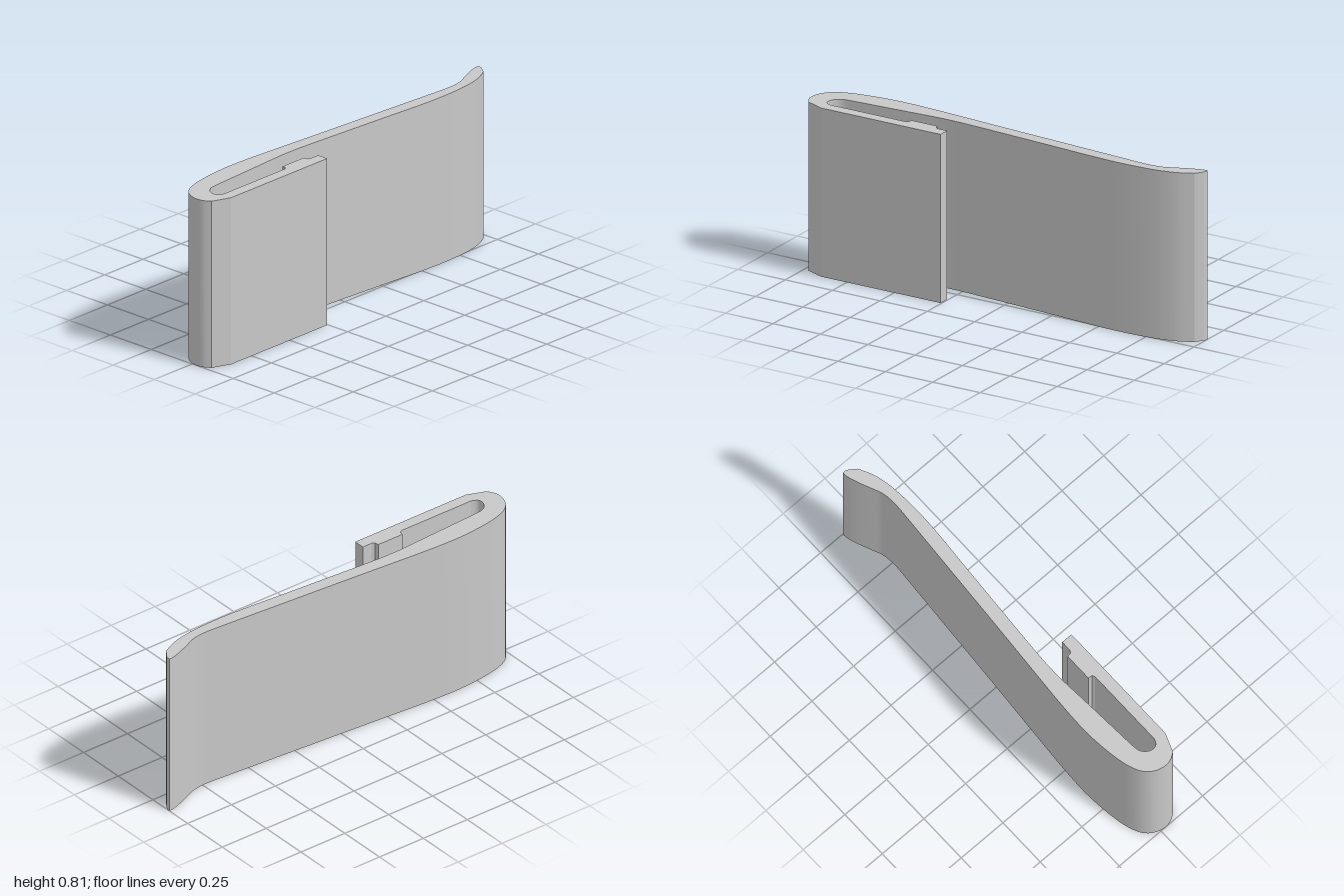
import * as THREE from 'three';
import { toCreasedNormals } from 'three/addons/utils/BufferGeometryUtils.js';

const HEIGHT = 0.805;

// Clip profile seen from above, drawn as (x, -z)
function clipProfile() {
  const shape = new THREE.Shape();
  const line = (...pts) => pts.forEach(([x, z]) => shape.lineTo(x, -z));
  const curve = (...pts) => shape.splineThru(pts.map(([x, z]) => new THREE.Vector2(x, -z)));

  // flared tip and inner face of the long arm
  shape.moveTo(-0.118, 0.998);
  curve([-0.1, -0.998], [-0.078, -0.985], [-0.055, -0.968]);
  curve([-0.022, -0.9], [-0.004, -0.83], [0.005, -0.76], [0.01, -0.66], [0.009, -0.55], [0.002, -0.43], [-0.008, -0.3]);
  line([-0.03, 0.02]);
  curve([-0.038, 0.14], [-0.045, 0.27], [-0.045, 0.38], [-0.038, 0.5], [-0.03, 0.64]);
  line([-0.02, 0.82]);

  // inside of the bend
  curve([-0.014, 0.862], [0.005, 0.89], [0.035, 0.904], [0.062, 0.897], [0.075, 0.87]);

  // short arm with its gripping ridge
  line([0.075, 0.475], [0.068, 0.462], [0.048, 0.46], [0.048, 0.322], [0.068, 0.318], [0.075, 0.305],
    [0.075, 0.255], [0.13, 0.255], [0.13, 0.885], [0.095, 0.975]);

  // outside of the bend and back of the long arm
  curve([0.06, 0.995], [0.025, 1.0], [-0.015, 0.991], [-0.05, 0.97], [-0.078, 0.935],
    [-0.1, 0.88], [-0.115, 0.81], [-0.126, 0.72], [-0.131, 0.63], [-0.129, 0.53], [-0.123, 0.42]);
  line([-0.092, 0], [-0.044, -0.69]);
  curve([-0.043, -0.75], [-0.052, -0.81], [-0.075, -0.865], [-0.098, -0.92], [-0.115, -0.97], [-0.118, -0.998]);
  return shape;
}

export function createModel() {
  const group = new THREE.Group();
  const greyMaterial = new THREE.MeshStandardMaterial({ color: 0xc8c8c8 });
  greyMaterial.name = 'grey';

  // One strip extruded upwards along y
  const extruded = new THREE.ExtrudeGeometry(clipProfile(), { depth: HEIGHT, bevelEnabled: false, curveSegments: 5 });
  extruded.rotateX(-Math.PI / 2);
  const clip = new THREE.Mesh(toCreasedNormals(extruded, Math.PI / 10), greyMaterial);
  clip.name = 'clip';
  group.add(clip);
  return group;
}
